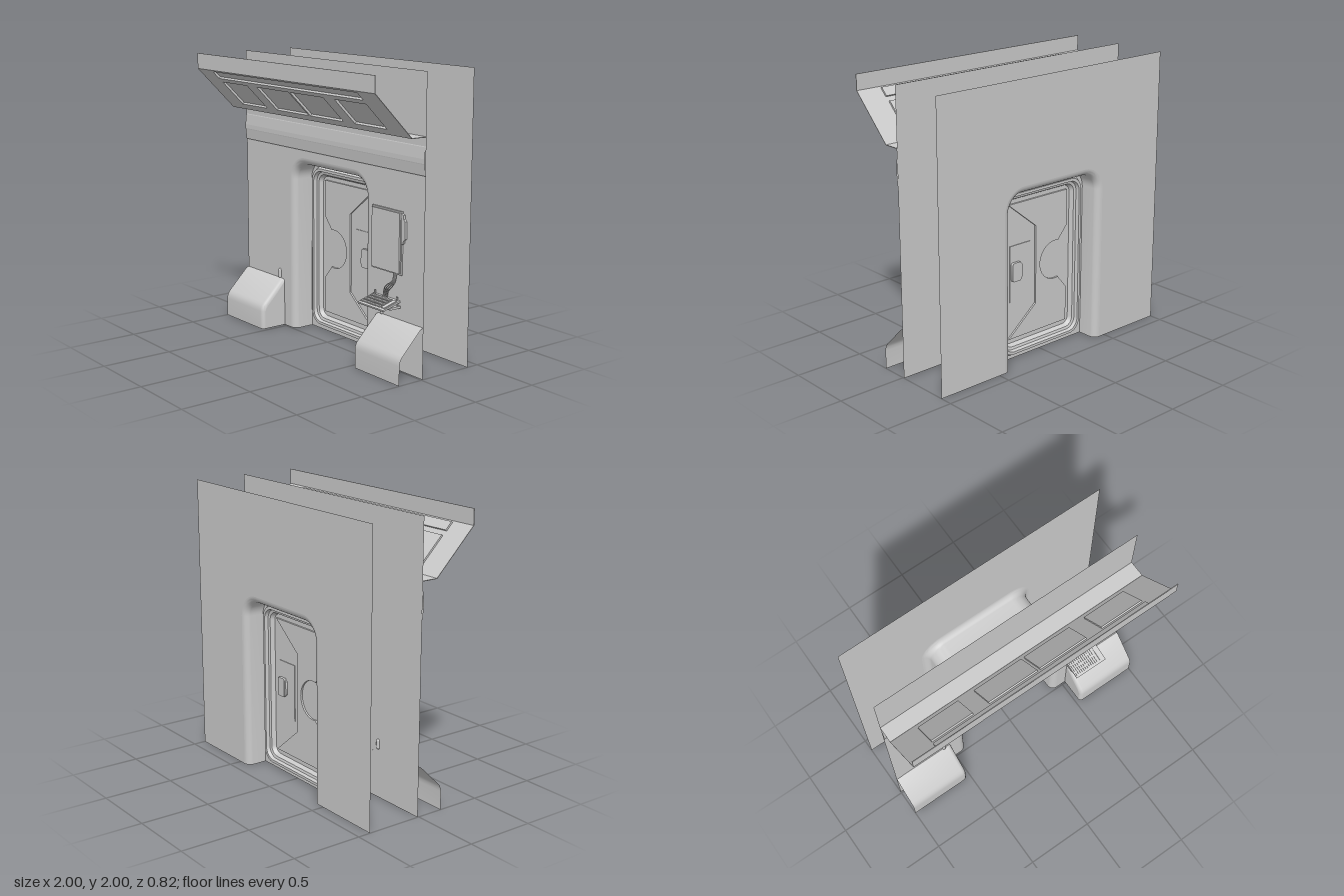
import * as THREE from 'three';
import { toCreasedNormals } from 'three/addons/utils/BufferGeometryUtils.js';

const mat = new THREE.MeshStandardMaterial({ color: 0xcccccc, side: THREE.DoubleSide });
const FRONT = -0.01, BACK = -0.41, MID = -0.215, FLARE = 0.05;

function add(parent, name, geometry, x = 0, y = 0, z = 0) {
  const mesh = new THREE.Mesh(geometry, mat);
  mesh.name = name;
  mesh.position.set(x, y, z);
  parent.add(mesh);
  return mesh;
}

const box = (x0, x1, y0, y1, z0, z1) =>
  new THREE.BoxGeometry(x1 - x0, y1 - y0, z1 - z0)
    .translate((x0 + x1) / 2, (y0 + y1) / 2, (z0 + z1) / 2);

// Surface through rows of [x, y, z] points
function ribbon(rows, crease = 0.6) {
  const n = rows[0].length, index = [];
  for (let r = 0; r < rows.length - 1; r++)
    for (let i = 0; i < n - 1; i++) {
      const a = r * n + i, b = a + n;
      index.push(a, b, a + 1, b, b + 1, a + 1);
    }
  const g = new THREE.BufferGeometry();
  g.setAttribute('position', new THREE.Float32BufferAttribute(rows.flat(2), 3));
  g.setIndex(index);
  return toCreasedNormals(g, crease);
}

// Upside-down U outline of the passage, grown outward by d
function archPoints(d) {
  const w = 0.4 + d, top = 1.235 + d, r = 0.12 + d, pts = [[w, 0]];
  for (const [side, start] of [[1, 0], [-1, Math.PI / 2]])
    for (let i = 0; i <= 10; i++) {
      const a = start + (Math.PI / 2) * i / 10;
      pts.push([side * (w - r) + r * Math.cos(a), top - r + r * Math.sin(a)]);
    }
  pts.push([-w, 0]);
  return pts;
}
const toShape = (points) => new THREE.Shape(points.map(([x, y]) => new THREE.Vector2(x, y)));

// Rounded rectangle as a list of points
function roundRect(x0, x1, y0, y1, r) {
  const pts = [];
  [[x1 - r, y1 - r], [x0 + r, y1 - r], [x0 + r, y0 + r], [x1 - r, y0 + r]].forEach(([cx, cy], k) => {
    for (let i = 0; i <= 8; i++) {
      const a = (Math.PI / 2) * (k + i / 8);
      pts.push([cx + r * Math.cos(a), cy + r * Math.sin(a)]);
    }
  });
  return pts;
}
const framePoints = (inset) =>
  roundRect(inset - 0.398, 0.398 - inset, 0.005 + inset, 1.233 - inset, 0.12 - inset * 0.7);

function extrude(shape, depth) {
  const g = new THREE.ExtrudeGeometry(shape, { depth, bevelEnabled: false, curveSegments: 10 });
  return toCreasedNormals(g.translate(0, 0, -depth / 2), 0.6);
}

function addWallsAndPassage(root) {
  // Two walls cut by the flared passage
  const wall = toShape([[-1, 0], [-1, 2], [1, 2], [1, 0], ...archPoints(FLARE)]);
  add(root, 'frontWall', new THREE.ShapeGeometry(wall), 0, 0, FRONT);
  add(root, 'backWall', new THREE.ShapeGeometry(wall), 0, 0, BACK);

  // Passage lining, curving out to meet both walls
  const rows = [];
  for (const end of [1, -1])
    for (let i = 0; i <= 8; i++) {
      const a = (Math.PI / 2) * (end > 0 ? i : 8 - i) / 8;
      const z = (end > 0 ? FRONT : BACK) - end * FLARE * (1 - Math.cos(a));
      rows.push(archPoints(FLARE * (1 - Math.sin(a))).map(([x, y]) => [x, y, z]));
    }
  add(root, 'passage', ribbon(rows, 0.8));
}

function addDoor(root) {
  const door = new THREE.Group();
  door.name = 'door';
  door.position.z = MID;
  root.add(door);

  // Stepped frame from [inset, half depth], both faces in one sweep
  const half = [[0, 0.05], [0.024, 0.05], [0.036, 0.075], [0.055, 0.075], [0.062, 0.05], [0.08, 0.045], [0.095, 0.014]];
  const section = [...half.map(([d, z]) => [d, -z]).reverse(), ...half];
  add(door, 'frame', ribbon(section.map(([d, z]) => {
    const loop = framePoints(d).map(([x, y]) => [x, y, z]);
    return [...loop, loop[0]];
  }), 0.4));

  // Infill between frame and passage
  const infill = toShape(archPoints(0));
  infill.holes.push(toShape(framePoints(0.02)));
  add(door, 'frameInfill', extrude(infill, 0.09));
  add(door, 'doorSlab', extrude(toShape(framePoints(0.09)), 0.03));

  // Raised plate with a round notch, showing on both faces
  const plate = new THREE.Shape();
  plate.moveTo(-0.27, 1.11).lineTo(0.27, 1.11).lineTo(0.02, 0.91).lineTo(0.02, 0.34);
  plate.lineTo(0.27, 0.135).lineTo(-0.27, 0.135).lineTo(-0.27, 0.39).lineTo(-0.19, 0.483);
  plate.absarc(-0.16, 0.62, 0.14, -1.79, 1.79, false);
  plate.lineTo(-0.27, 0.85);
  add(door, 'doorPlate', extrude(plate, 0.056));
  add(door, 'handlePlate', box(0.065, 0.25, 0.4, 0.81, -0.02, 0.02));
  add(door, 'handle', extrude(toShape(roundRect(0.165, 0.24, 0.555, 0.69, 0.012)), 0.08));
  add(door, 'handleLatch', extrude(toShape(roundRect(0.15, 0.18, 0.57, 0.675, 0.01)), 0.07));
}

function addOverhead(root) {
  // Shallow moulding on the wall, with shelf and top lip
  const moulding = [[FRONT, 1.34], [-0.006, 1.345], [0.002, 1.415], [0.003, 1.42], [0.003, 1.45],
    [-0.005, 1.525], [-0.007, 1.53], [-0.007, 1.59]];
  add(root, 'moulding', ribbon([-1, 1].map((x) => moulding.map(([z, y]) => [x, y, z])), 0.06));
  add(root, 'shelf', box(-1, 1, 1.588, 1.592, FRONT, 0.105));
  add(root, 'topLip', box(-1, 1, 1.89, 2, 0.405, 0.41));

  // Sloped canopy with shallow recesses
  const canopy = new THREE.Group();
  canopy.name = 'canopy';
  canopy.position.set(0, 1.59, 0.107);
  canopy.rotation.x = Math.PI / 4;
  root.add(canopy);
  const sheet = toShape([[-1, 0], [1, 0], [1, 0.426], [-1, 0.426]]);
  const recesses = [
    [-0.81, -0.5, 0.06, 0.3], [-0.38, -0.01, 0.06, 0.3], [0.01, 0.37, 0.06, 0.3],
    [0.49, 0.81, 0.06, 0.3], [-0.815, 0.815, 0.34, 0.41],
  ];
  for (const [x0, x1, y0, y1] of recesses) {
    sheet.holes.push(toShape([[x0, y0], [x1, y0], [x1, y1], [x0, y1]]));
    const tray = box(x0, x1, y0, y1, -0.014, 0);
    const faces = Array.from(tray.index.array);
    faces.splice(24, 6); // open on the lower side
    tray.setIndex(faces);
    tray.clearGroups();
    add(canopy, 'recess', tray);
  }
  add(canopy, 'canopySheet', extrude(sheet, 0.004));
}

function addFootings(root) {
  // Sloped housings, hollow and open at the outer end
  const profile = (d) => [
    [0.19, 0], [0.19, 0.13], [0.186, 0.155], [0.177, 0.175], [0.162, 0.193], [0.01, 0.345], [FRONT, 0.35],
  ].map(([z, y], i) => [i === 6 ? z : z - d * 0.8, i > 1 ? y - d * 0.7 : y]);
  for (const s of [-1, 1]) {
    const rows = [profile(0).map(([z, y]) => [s, y, z])];
    for (let i = 0; i <= 5; i++) {
      const a = (Math.PI / 2) * i / 5;
      rows.push(profile(0.03 * (1 - Math.cos(a))).map(([z, y]) => [s * (0.56 - 0.03 * Math.sin(a)), y, z]));
    }
    add(root, 'footing', ribbon(rows, 0.7));
    const end = toShape([...profile(0.03), [FRONT, 0]].map(([z, y]) => [-z, y]));
    add(root, 'footingEnd', new THREE.ShapeGeometry(end).rotateY(Math.PI / 2), s * 0.53);
    add(root, 'pin', new THREE.CapsuleGeometry(0.014, 0.046, 4, 10), s * 0.585, 0.383, FRONT);
  }
}

function addEquipment(root) {
  // Wall cabinet
  add(root, 'cabinet', box(0.49, 0.79, 0.655, 1.08, FRONT, 0.002));
  add(root, 'cabinetDoor', box(0.5, 0.78, 0.665, 1.07, 0.002, 0.013));
  const latch = toShape([[0.79, 0.86], [0.81, 0.87], [0.815, 0.89], [0.83, 0.905],
    [0.83, 1.02], [0.815, 1.035], [0.815, 1.06], [0.79, 1.07]]);
  add(root, 'cabinetLatch', extrude(latch, 0.016));

  // Cables from cabinet to console
  for (let i = 0; i < 4; i++) {
    const path = new THREE.CatmullRomCurve3([
      [0.715 + i * 0.009, 0.66, 0.0], [0.718 + i * 0.008, 0.61, 0.012],
      [0.66 + i * 0.02, 0.565, 0.02], [0.635 + i * 0.014, 0.53, 0.015], [0.625 + i * 0.012, 0.46, 0.015],
    ].map((p) => new THREE.Vector3(...p)));
    add(root, 'cable', new THREE.TubeGeometry(path, 20, 0.004, 6));
  }

  // Tilted console on a small bracket
  const desk = new THREE.Group();
  desk.name = 'console';
  desk.position.set(0.643, 0.458, 0.067);
  desk.rotation.x = 0.27;
  root.add(desk);
  add(desk, 'consoleTray', box(-0.132, 0.132, -0.008, 0.004, -0.075, 0.075));
  for (let r = 0; r < 4; r++)
    for (let c = 0; c < 12; c++)
      add(desk, 'key', new THREE.BoxGeometry(0.013, 0.008, 0.022), -0.115 + c * 0.017, 0.007, -0.045 + r * 0.03);
  add(desk, 'sidePad', box(0.09, 0.122, 0.003, 0.01, -0.055, 0.055));
  add(root, 'bracket', box(0.51, 0.775, 0.43, 0.445, FRONT, 0.08));
  for (const x of [0.53, 0.755])
    add(root, 'peg', new THREE.CylinderGeometry(0.006, 0.006, 0.06, 8), x, 0.475, 0.005);
}

export function createModel() {
  const root = new THREE.Group();
  root.name = 'wallWithDoor';
  addWallsAndPassage(root);
  addDoor(root);
  addOverhead(root);
  addFootings(root);
  addEquipment(root);
  return root;
}
